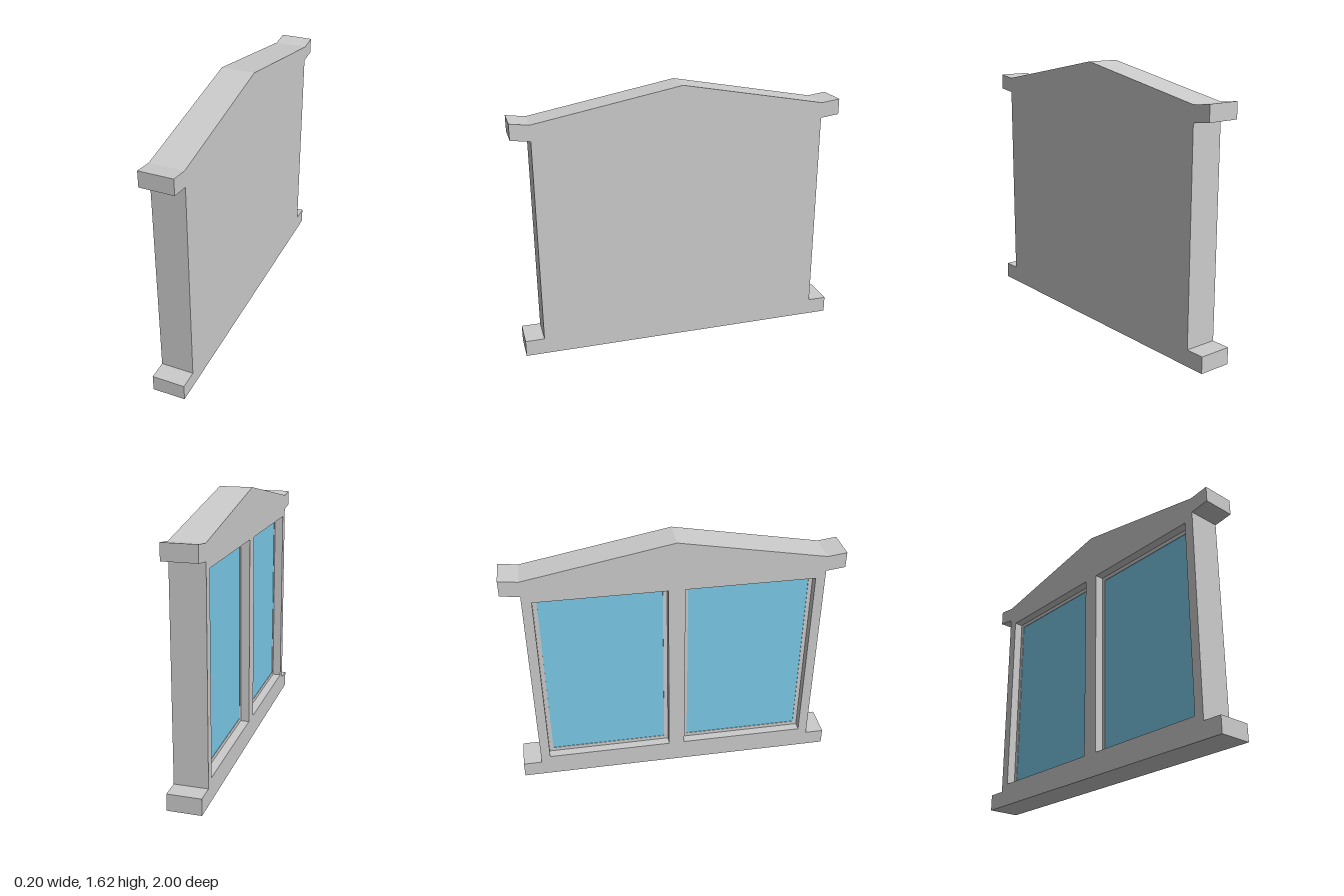
import * as THREE from 'three';

const FACE = -0.1, RECESS = -0.04, BACK = 0.1;
const SILL = 0.14, HEAD = 1.31, INNER = 0.05, OUTER = 0.827, FRAME = 0.025;

// Half outline of the gabled wall: [distance from centre, height]
const HALF = [[1, 0], [1, 0.1], [0.885, 0.1], [0.885, 1.355], [1, 1.37], [1, 1.465], [0.885, 1.45]];

const wallShape = () => new THREE.Shape([
  ...HALF, [0, 1.615], ...HALF.map(([u, v]) => [-u, v]).reverse(),
].map(([u, v]) => new THREE.Vector2(u, v)));

function rect(Type, u0, u1, v0, v1) {
  return new Type([[u0, v0], [u1, v0], [u1, v1], [u0, v1]].map(([u, v]) => new THREE.Vector2(u, v)));
}

// Extrudes a z-y shape through the wall thickness from x0 to x1
function slab(name, shape, x0, x1, material) {
  const geometry = new THREE.ExtrudeGeometry(shape, { depth: x1 - x0, bevelEnabled: false });
  geometry.rotateY(Math.PI / 2).translate(x0, 0, 0);
  const mesh = new THREE.Mesh(geometry, material);
  mesh.name = name;
  return mesh;
}

export function createModel() {
  const group = new THREE.Group();
  group.name = 'gabledWindowWall';
  const grey = new THREE.MeshStandardMaterial({ color: 0xcccccc });
  const blue = new THREE.MeshStandardMaterial({ color: 0x7bcae8 });

  // Solid wall, with a pierced layer in front that forms the window recesses
  group.add(slab('wallBack', wallShape(), RECESS, BACK, grey));
  const pierced = wallShape();
  const bays = [[-OUTER, -INNER], [INNER, OUTER]];
  for (const [u0, u1] of bays) pierced.holes.push(rect(THREE.Path, u0, u1, SILL, HEAD));
  group.add(slab('wallFace', pierced, FACE, RECESS, grey));

  // A thin frame and a glass pane in each recess
  for (const [u0, u1] of bays) {
    const inner = [u0 + FRAME, u1 - FRAME, SILL + FRAME, HEAD - FRAME];
    const ring = rect(THREE.Shape, u0, u1, SILL, HEAD);
    ring.holes.push(rect(THREE.Path, ...inner));
    group.add(slab('windowFrame', ring, RECESS - 0.006, RECESS, grey));
    group.add(slab('windowGlass', rect(THREE.Shape, ...inner), RECESS - 0.003, RECESS, blue));
  }
  return group;
}
